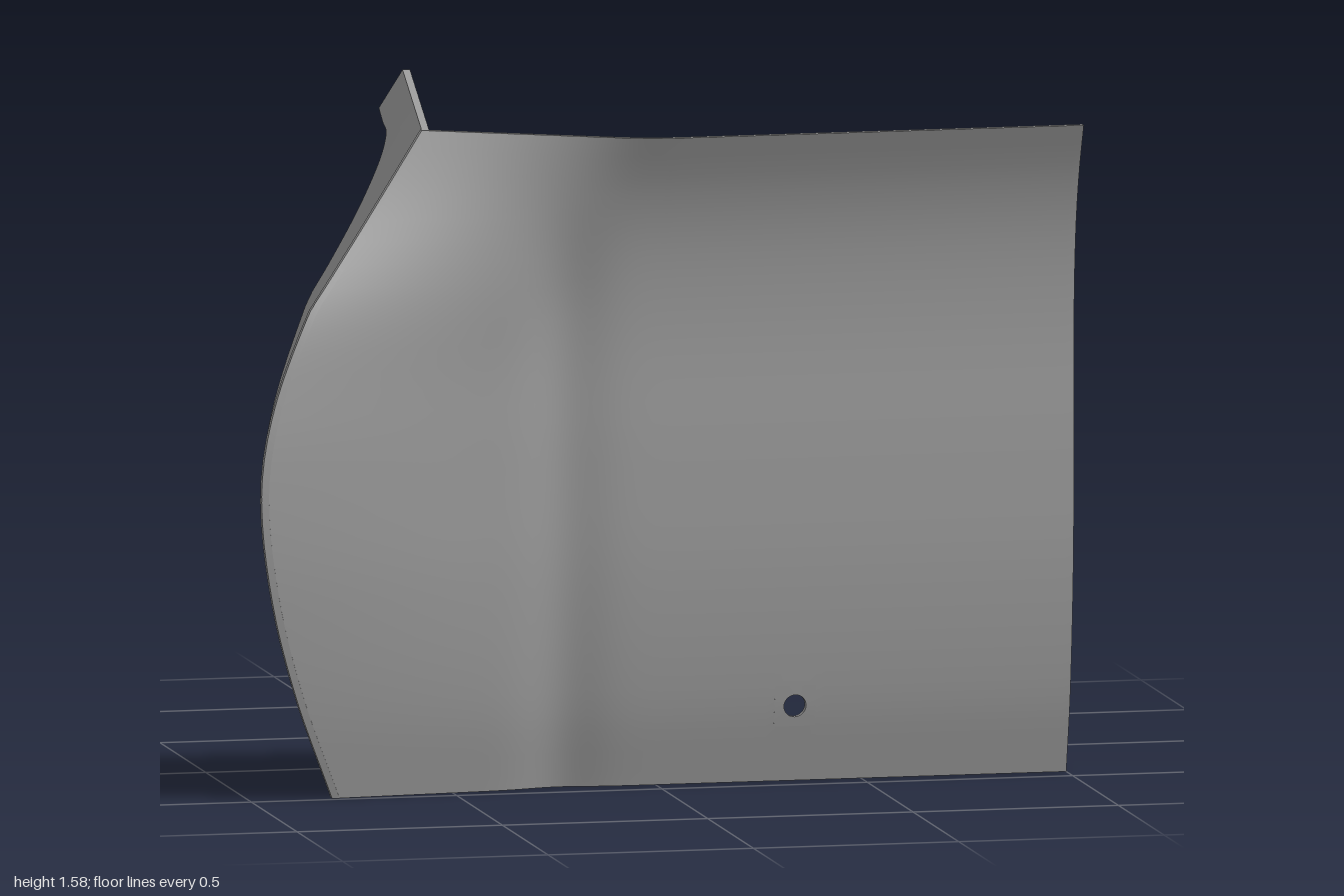
import * as THREE from 'three';
import { mergeGeometries } from 'three/addons/utils/BufferGeometryUtils.js';

// Smooth height-to-value function through [y, value] points
function profile(pts) {
  const slope = pts.map((p, i) => {
    const a = pts[Math.max(i - 1, 0)], b = pts[Math.min(i + 1, pts.length - 1)];
    return (b[1] - a[1]) / (b[0] - a[0]);
  });
  return (y) => {
    let i = 0;
    while (i < pts.length - 2 && y > pts[i + 1][0]) i++;
    const h = pts[i + 1][0] - pts[i][0], t = (y - pts[i][0]) / h, t2 = t * t, t3 = t2 * t;
    return (2 * t3 - 3 * t2 + 1) * pts[i][1] + (t3 - 2 * t2 + t) * h * slope[i]
      + (3 * t2 - 2 * t3) * pts[i + 1][1] + (t3 - t2) * h * slope[i + 1];
  };
}

// Grid of quads from a point function; flip turns the faces over
function grid(nu, nv, point, flip = false, skip = () => false) {
  const pos = [], idx = [];
  for (let j = 0; j < nv; j++) for (let i = 0; i < nu; i++) pos.push(...point(i, j));
  for (let j = 0; j < nv - 1; j++) for (let i = 0; i < nu - 1; i++) {
    if (skip(i, j)) continue;
    const a = j * nu + i, b = a + 1, c = a + nu, d = c + 1;
    if (flip) idx.push(a, c, b, b, c, d);
    else idx.push(a, b, c, b, d, c);
  }
  const g = new THREE.BufferGeometry();
  g.setAttribute('position', new THREE.Float32BufferAttribute(pos, 3));
  g.setIndex(idx);
  g.computeVertexNormals();
  return g;
}

// Outer skin, inner skin and the four thin edges between them
function shell(nu, nv, outer, inner, skip) {
  const edge = (n, at, flip) =>
    grid(n, 2, (i, k) => (k ? inner : outer)(...at(i)), flip);
  return [
    grid(nu, nv, outer, true, skip),
    grid(nu, nv, inner, false, skip),
    edge(nu, (i) => [i, 0], false),
    edge(nu, (i) => [i, nv - 1], true),
    edge(nv, (j) => [0, j], true),
    edge(nv, (j) => [nu - 1, j], false),
  ];
}

const TOP = 1.58;
// Corner line where the front panel meets the side wall
const cornerX = profile([[0, -0.8], [0.25, -0.9], [0.5, -0.97], [0.75, -1], [0.95, -0.97],
  [1.17, -0.88], [1.25, -0.82], [1.4, -0.7], [TOP, -0.555]]);
const cornerZ = profile([[0, 0.485], [0.2, 0.535], [0.4, 0.573], [0.6, 0.602], [0.8, 0.615],
  [0.95, 0.61], [1.15, 0.58], [1.3, 0.52], [1.45, 0.44], [TOP, 0.365]]);
// Depth of the straight part of the panel, and where the corner bend starts
const panelZ = profile([[0, 0.43], [0.2, 0.475], [0.5, 0.507], [0.8, 0.515], [1.1, 0.515],
  [1.3, 0.532], [1.45, 0.568], [TOP, 0.622]]);
const bendStart = profile([[0, 0.25], [0.5, 0.36], [1, 0.36], [1.35, 0.2], [TOP, 0.1]]);

function frontZ(x, y) {
  const s0 = bendStart(y), w = 0.05;
  const s = x / cornerX(y);
  const f = (w * Math.log(1 + Math.exp((s - s0) / w))) / (1 - s0);
  const fade = 1 - THREE.MathUtils.smoothstep(y, 1.15, 1.5);
  const dip = 0.02 * fade * Math.exp(-(((x + 0.24) / 0.09) ** 2));
  return panelZ(y) + (cornerZ(y) - panelZ(y)) * f - dip;
}

export function createModel() {
  const grey = new THREE.MeshStandardMaterial({ color: 0xa0a0a0, side: THREE.DoubleSide });
  grey.name = 'grey';
  const model = new THREE.Group();
  model.name = 'cornerPanel';
  const add = (name, geometry) => {
    const m = new THREE.Mesh(geometry, grey);
    m.name = name;
    model.add(m);
  };

  // Front panel, with a square patch left open around the round hole
  const rows = [0];
  for (let y = 0.035; y < 1.56; y += 0.05) rows.push(y);
  rows.push(TOP);
  const panelPoint = (thick) => (i, j) => {
    const u = i * 0.02, y = rows[j];
    const x = u <= 1 ? 1 - u : (u - 1) * cornerX(y);
    return [x, y, frontZ(x, y) - thick];
  };
  const inPatch = (i, j) => i >= 31 && i < 36 && rows[j] > 0.13 && rows[j] < 0.23;
  const parts = shell(101, rows.length, panelPoint(0), panelPoint(0.017), inPatch);

  // Ring from the square patch to the round hole, and the hole's rim
  const ringPoint = (thick, round) => (i) => {
    const a = (i / 32) * Math.PI * 2, c = Math.cos(a), s = Math.sin(a);
    const r = round ? 0.027 : 0.05 / Math.max(Math.abs(c), Math.abs(s));
    const x = 0.33 + r * c, y = 0.185 + r * s;
    return [x, y, frontZ(x, y) - thick];
  };
  parts.push(
    grid(33, 2, (i, k) => ringPoint(0, k === 1)(i), true),
    grid(33, 2, (i, k) => ringPoint(0.017, k === 1)(i), false),
    grid(33, 2, (i, k) => ringPoint(k * 0.017, true)(i), true),
  );
  add('frontPanel', mergeGeometries(parts));

  // Side wall between the corner line and the wheel arch: (arch z, arch y, corner y)
  const arch = new THREE.CatmullRomCurve3([
    [-0.13, 0.012, 0], [0, 0.04, 0.05], [0.2, 0.14, 0.15], [0.37, 0.31, 0.3], [0.47, 0.5, 0.5],
    [0.505, 0.75, 0.75], [0.47, 1, 1], [0.35, 1.2, 1.2], [0.2, 1.35, 1.36], [0, 1.45, 1.45],
    [-0.2, 1.49, 1.5], [-0.4, 1.49, 1.53], [-0.62, 1.49, 1.56],
  ].map((p) => new THREE.Vector3(...p))).getPoints(72);
  arch.push(new THREE.Vector3(-0.62, TOP, TOP));
  const wallPoint = (thick) => (i, j) => {
    const a = arch[j], t = i / 16;
    const y = THREE.MathUtils.lerp(Math.max(a.z, 0), a.y, t);
    const z = THREE.MathUtils.lerp(cornerZ(Math.max(a.z, 0)), a.x, t);
    const lean = THREE.MathUtils.lerp(0.267, 0.175, y / TOP);
    return [cornerX(y) + lean * (cornerZ(y) - z) + thick, y, z];
  };
  add('sideWall', mergeGeometries(shell(17, arch.length, wallPoint(0), wallPoint(0.018))));

  // Floor plate with its cut-out; the front edge follows the panel
  const outline = [[1, 0.165], [0.33, 0.165], [0.07, 0.03], [0.07, -0.63], [-0.45, -0.63],
    [-0.49, -0.62], [-0.525, -0.59], [-0.55, -0.53], [-0.64, -0.12], [-0.798, 0.48]];
  for (let x = -0.78; x <= 1.001; x += 0.0445) outline.push([x, frontZ(x, 0) - 0.004]);
  const cut = [[0.285, 0.205], [0.285, 0.393], [-0.2, 0.39], [-0.5, 0.39], [-0.53, 0.365],
    [-0.54, 0.325], [-0.34, 0.205]];
  const toShape = (pts) => pts.map(([x, z]) => new THREE.Vector2(x, -z));
  const shape = new THREE.Shape(toShape(outline));
  shape.holes.push(new THREE.Path(toShape(cut)));
  const floor = new THREE.ExtrudeGeometry(shape, { depth: 0.014, bevelEnabled: false });
  floor.rotateX(-Math.PI / 2);
  add('floorPlate', floor);

  return model;
}
